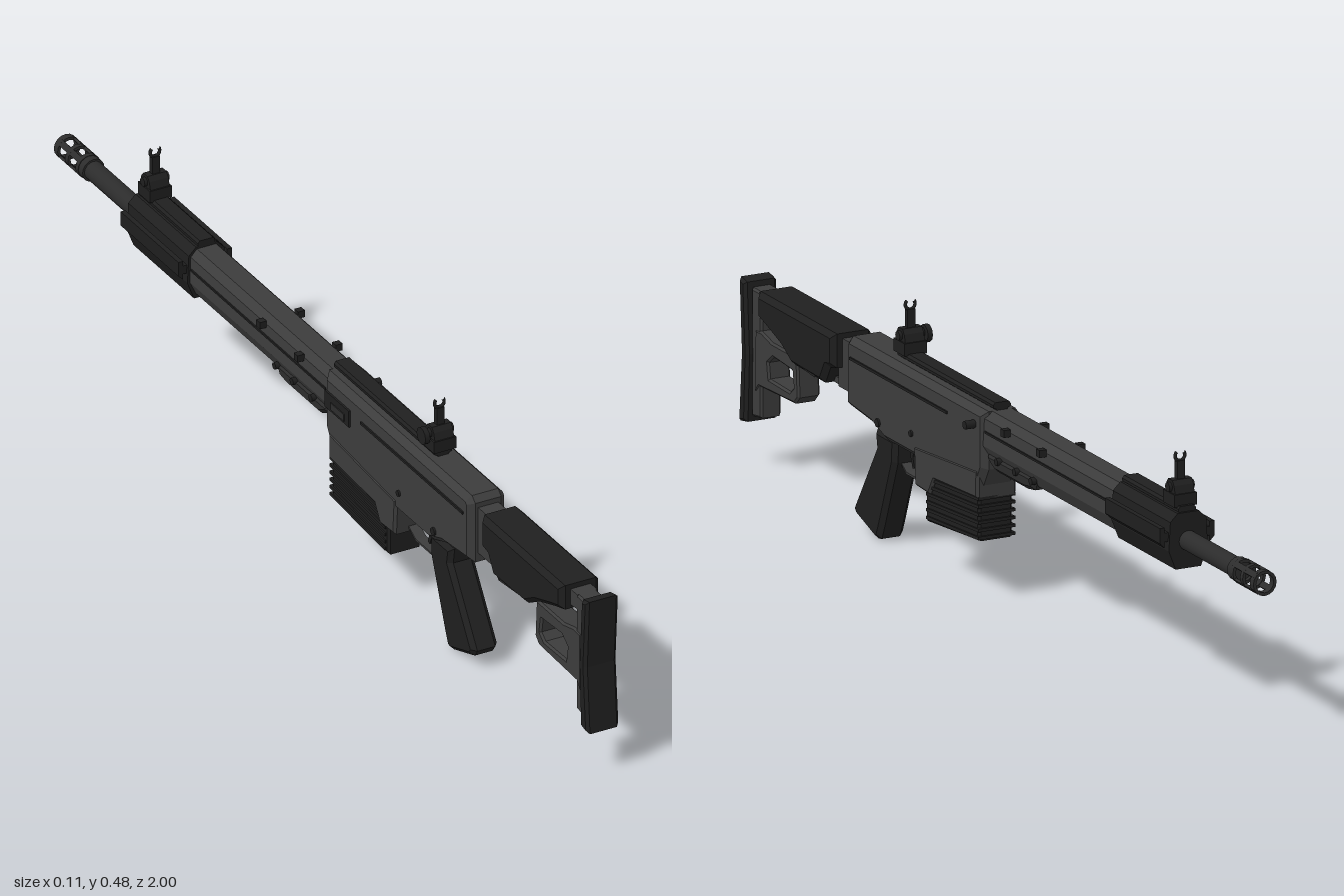
import * as THREE from 'three';

const CX = -0.017; // centre plane of the body

export function createModel() {
  const model = new THREE.Group();
  const mat = (name, color) => Object.assign(new THREE.MeshStandardMaterial({ color }), { name });
  const grey = mat('receiver grey', 0x3c3c3c);
  const dark = mat('polymer black', 0x1f1f1f);
  const steel = mat('barrel steel', 0x2c2c2c);

  const add = (name, geo, material) => {
    const m = new THREE.Mesh(geo, material);
    m.name = name;
    model.add(m);
    return m;
  };
  const toPath = (pts, P = THREE.Shape) => new P(pts.map(p => new THREE.Vector2(p[0], p[1])));
  const extrude = (shape, depth, b) => new THREE.ExtrudeGeometry(shape, {
    depth: depth - 2 * b, bevelEnabled: b > 0, bevelSize: b, bevelThickness: b,
    bevelOffset: -b, bevelSegments: 1, curveSegments: 8,
  }).translate(0, 0, -(depth - 2 * b) / 2);

  // Side outline given as (z, y) points, extruded across the width
  const side = (name, pts, width, material, b = 0, holes = [], x = CX) => {
    const s = toPath(pts);
    holes.forEach(h => s.holes.push(toPath(h, THREE.Path)));
    return add(name, extrude(s, width, b).rotateY(-Math.PI / 2).translate(x, 0, 0), material);
  };
  // Cross-section given as (x from centre, y) points, extruded from z0 to z1
  const section = (name, pts, z0, z1, material) =>
    add(name, extrude(toPath(pts), Math.abs(z1 - z0), 0).translate(CX, 0, (z0 + z1) / 2), material);
  const mirrored = half => [...half, ...half.map(([x, y]) => [-x, y]).reverse()];
  const box = (name, x, y, z, w, h, d, material) =>
    add(name, new THREE.BoxGeometry(w, h, d).translate(CX + x, y, z), material);
  const rod = (name, r, z0, z1, y, material, n = 16) =>
    add(name, new THREE.CylinderGeometry(r, r, Math.abs(z1 - z0), n)
      .rotateX(Math.PI / 2).translate(CX, y, (z0 + z1) / 2), material);
  const pin = (name, x, y, z, r, len, material) =>
    add(name, new THREE.CylinderGeometry(r, r, len, 10).rotateZ(Math.PI / 2).translate(CX + x, y, z), material);

  // Butt stock
  side('buttPad', [[0.975, 0.355], [0.998, 0.36], [0.99, 0.22], [1, 0.085], [0.972, 0.09], [0.966, 0.22]],
    0.068, dark, 0.006);
  side('stockPost', [[0.935, 0.345], [0.972, 0.345], [0.972, 0.1], [0.935, 0.105]], 0.042, grey, 0.004);
  side('stockCore', [[0.56, 0.345], [0.94, 0.345], [0.94, 0.315], [0.8, 0.3], [0.56, 0.3]], 0.042, grey);
  side('stockNeck', [[0.56, 0.345], [0.63, 0.345], [0.63, 0.25], [0.56, 0.25]], 0.042, grey);
  side('cheekRest', [[0.615, 0.355], [0.915, 0.355], [0.915, 0.305], [0.88, 0.295], [0.82, 0.275],
    [0.78, 0.252], [0.66, 0.25], [0.64, 0.285], [0.615, 0.29]], 0.084, dark, 0.01,
  [[[0.745, 0.268], [0.73, 0.292], [0.675, 0.288], [0.69, 0.265]]]);
  side('lowerStock', [[0.955, 0.27], [0.93, 0.272], [0.89, 0.262], [0.79, 0.262], [0.785, 0.185], [0.8, 0.17],
    [0.94, 0.165], [0.955, 0.15]], 0.046, grey, 0.004,
  [[[0.9, 0.19], [0.905, 0.22], [0.885, 0.235], [0.81, 0.23], [0.805, 0.2], [0.82, 0.188]]]);
  side('stockLatch', [[0.6, 0.25], [0.79, 0.25], [0.79, 0.262], [0.6, 0.262]], 0.03, grey);

  // Receiver, magazine well and seam details
  side('receiver', [[0.572, 0.355], [0.56, 0.366], [0.03, 0.366], [0.03, 0.255], [0.05, 0.22], [0.05, 0.205],
    [0.42, 0.205], [0.47, 0.222], [0.572, 0.232]], 0.078, grey, 0.012);
  side('magazineWell', [[0.3, 0.23], [0.05, 0.25], [0.05, 0.195], [0.22, 0.185], [0.24, 0.152],
    [0.295, 0.155]], 0.082, grey, 0.005);
  for (const s of [-1, 1]) {
    box('receiverSeam', s * 0.039, 0.328, 0.36, 0.006, 0.005, 0.38, dark);
    pin('receiverPin', s * 0.039, 0.235, 0.44, 0.008, 0.008, dark);
    pin('receiverPin', s * 0.039, 0.25, 0.31, 0.006, 0.008, dark);
  }
  box('ejectionPort', -0.04, 0.316, 0.085, 0.006, 0.034, 0.09, dark);
  box('portCover', -0.042, 0.312, 0.09, 0.006, 0.014, 0.05, steel);
  pin('chargingHandle', 0.046, 0.335, 0.065, 0.008, 0.026, dark);

  // Magazine with raised ribs
  side('magazine', [[0.262, 0.24], [0.055, 0.24], [0.055, 0.113], [0.262, 0.095]], 0.07, dark, 0.005);
  for (let i = 0; i < 6; i++) {
    const y = 0.117 + i * 0.015;
    side('magazineRib', [[0.255, y - 0.015], [0.05, y], [0.05, y + 0.006], [0.255, y - 0.009]], 0.076, dark);
  }

  // Grip, trigger and guard
  side('grip', [[0.4, 0.212], [0.48, 0.212], [0.475, 0.18], [0.565, 0.04], [0.555, 0.026], [0.478, 0.001],
    [0.465, 0.004], [0.452, 0.035], [0.402, 0.165]], 0.055, dark, 0.009);
  side('trigger', [[0.372, 0.21], [0.358, 0.21], [0.366, 0.185], [0.36, 0.165], [0.367, 0.163], [0.376, 0.185]],
    0.014, dark);
  side('triggerGuard', [[0.41, 0.165], [0.385, 0.148], [0.32, 0.148], [0.29, 0.165], [0.29, 0.169],
    [0.322, 0.152], [0.384, 0.152], [0.41, 0.169]], 0.022, grey);

  // Handguard
  section('handguard', mirrored([[0.02, 0.366], [0.033, 0.352], [0.035, 0.3], [0.022, 0.273]]), 0.04, -0.69, grey);
  side('handguardBlock', [[0.03, 0.29], [-0.16, 0.29], [-0.15, 0.265], [-0.12, 0.26], [0, 0.26],
    [0.03, 0.275]], 0.066, steel, 0.008);
  for (const s of [-1, 1]) {
    box('handguardSeam', s * 0.0345, 0.328, -0.22, 0.004, 0.004, 0.5, dark);
    for (const z of [-0.02, -0.09, -0.155]) pin('handguardScrew', s * 0.034, 0.285, z, 0.007, 0.01, dark);
    for (const z of [-0.06, -0.2]) {
      const stud = box('slingStud', s * 0.04, 0.352, z, 0.014, 0.014, 0.014, dark);
      stud.geometry.translate(0, 0, 0);
    }
  }

  // Front cover with flared side rails
  section('frontCover', mirrored([[0.022, 0.37], [0.037, 0.355], [0.04, 0.3], [0.026, 0.264]]), -0.475, -0.7, dark);
  for (const s of [-1, 1]) {
    const pts = [[0.036, 0.335], [0.046, 0.335], [0.046, 0.345], [0.056, 0.345], [0.056, 0.316],
      [0.046, 0.306], [0.046, 0.318], [0.036, 0.318]].map(([x, y]) => [x * s, y]);
    section('sideRail', pts, -0.48, -0.695, dark);
  }

  // Top rails
  const railShape = mirrored([[0.011, 0.362], [0.011, 0.368], [0.018, 0.371], [0.018, 0.376], [0.014, 0.381]]);
  section('rearRail', railShape, 0.405, 0.03, dark);
  section('frontRail', railShape, -0.475, -0.695, dark);

  // Flip-up sights: clamp base, thin post and open ring
  for (const [name, z] of [['rearSight', 0.39], ['frontSight', -0.667]]) {
    box(name + 'Base', 0, 0.39, z, 0.046, 0.024, 0.044, dark);
    side(name + 'Hinge', [[z - 0.02, 0.4], [z - 0.015, 0.417], [z - 0.008, 0.426], [z + 0.008, 0.426],
      [z + 0.015, 0.417], [z + 0.02, 0.4]], 0.04, dark);
    pin(name + 'Pin', 0, 0.412, z, 0.009, 0.052, dark);
    box(name + 'Post', 0, 0.438, z, 0.016, 0.045, 0.011, dark);
    add(name + 'Ring', new THREE.TorusGeometry(0.01, 0.0035, 6, 14, Math.PI * 1.5)
      .rotateZ(Math.PI * 0.75).translate(CX, 0.469, z), dark);
  }
  pin('windageKnob', -0.033, 0.409, 0.39, 0.017, 0.01, dark);

  // Barrel and vented muzzle
  const by = 0.316;
  rod('barrel', 0.019, -0.66, -0.9, by, steel);
  rod('barrelCollar', 0.023, -0.895, -0.912, by, steel);
  const ring = (z0, z1) => {
    const s = new THREE.Shape().absarc(0, 0, 0.024, 0, Math.PI * 2);
    s.holes.push(new THREE.Path().absarc(0, 0, 0.018, 0, Math.PI * 2));
    add('muzzleRing', extrude(s, z0 - z1, 0).translate(CX, by, (z0 + z1) / 2), steel);
  };
  ring(-0.91, -0.92);
  ring(-0.948, -0.958);
  ring(-0.986, -1);
  for (let i = 0; i < 4; i++) {
    const strut = new THREE.BoxGeometry(0.012, 0.005, 0.084).translate(0, 0.021, 0)
      .rotateZ(Math.PI / 4 + i * Math.PI / 2).translate(CX, by, -0.953);
    add('muzzleStrut', strut, steel);
  }
  return model;
}
